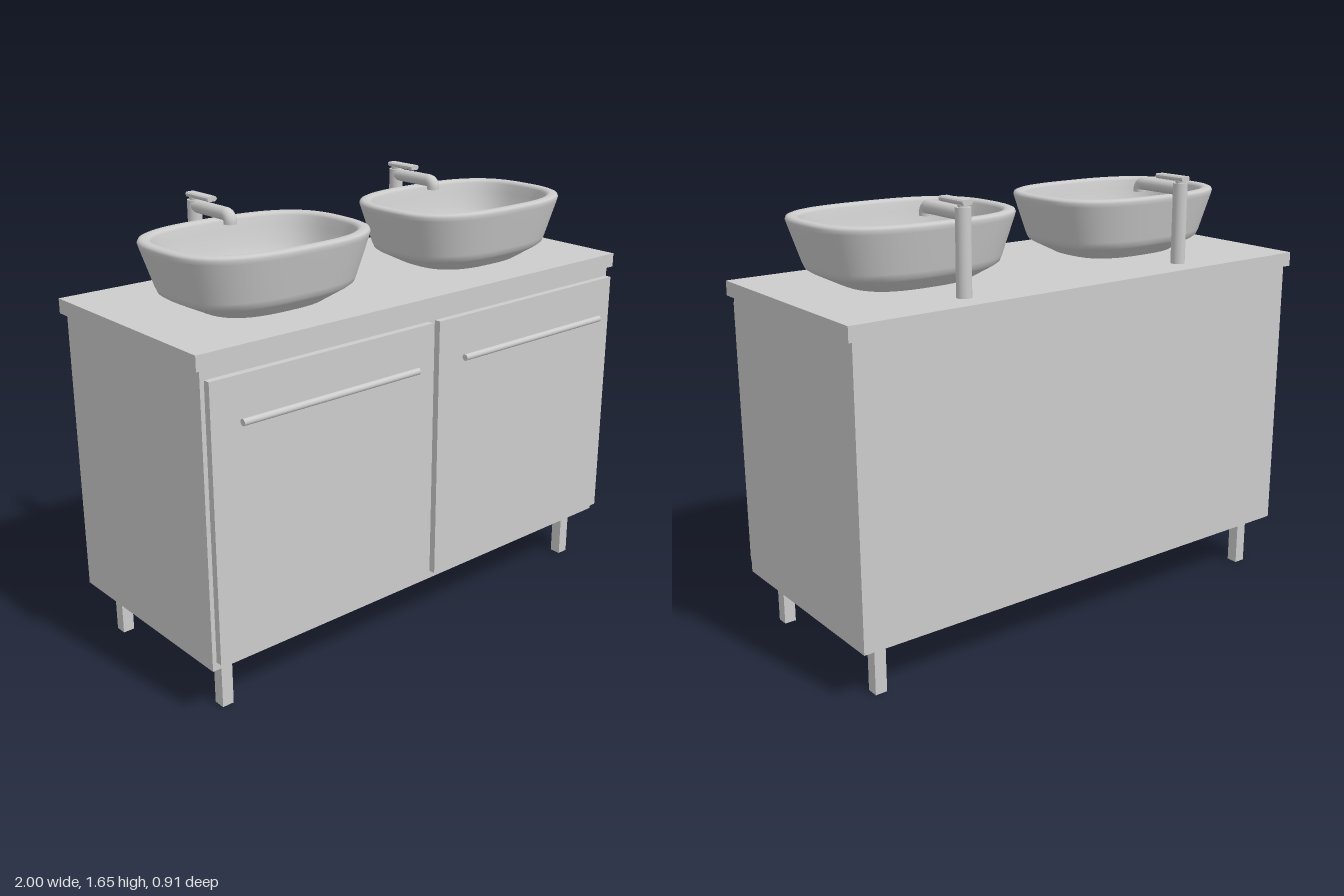
import * as THREE from 'three';

const grey = new THREE.MeshStandardMaterial({ color: 0xcccccc });
grey.name = 'light grey';

function add(parent, name, geometry, x = 0, y = 0, z = 0) {
  const mesh = new THREE.Mesh(geometry, grey);
  mesh.name = name;
  mesh.position.set(x, y, z);
  parent.add(mesh);
  return mesh;
}

// Box given by its lower and upper limits on each axis
function box(parent, name, [x0, x1], [y0, y1], [z0, z1]) {
  return add(parent, name, new THREE.BoxGeometry(x1 - x0, y1 - y0, z1 - z0),
    (x0 + x1) / 2, (y0 + y1) / 2, (z0 + z1) / 2);
}

// Bowl skinned over rounded-rectangle rings: [half width, half depth, height]
function bowlGeometry() {
  const rings = [
    [0.001, 0.001, 0], [0.22, 0.166, 0], [0.232, 0.176, 0.003],
    [0.325, 0.24, 0.049], [0.341, 0.252, 0.06], [0.35, 0.258, 0.08],
    [0.396, 0.291, 0.218], [0.4, 0.294, 0.232], [0.396, 0.291, 0.241], [0.387, 0.282, 0.245],
    [0.37, 0.265, 0.245], [0.361, 0.256, 0.241], [0.356, 0.251, 0.232],
    [0.35, 0.245, 0.2], [0.335, 0.23, 0.14], [0.308, 0.208, 0.085],
    [0.26, 0.172, 0.05], [0.18, 0.118, 0.034], [0.09, 0.06, 0.03], [0.001, 0.001, 0.029],
  ];
  const n = 72, power = 2 / 2.8, positions = [], index = [];
  const soft = (v) => Math.sign(v) * Math.abs(v) ** power;
  rings.forEach(([a, b, y], i) => {
    for (let j = 0; j < n; j++) {
      const t = (j / n) * Math.PI * 2;
      positions.push(a * soft(Math.cos(t)), y, b * soft(Math.sin(t)));
      if (i === rings.length - 1) continue;
      const p = i * n + j, q = i * n + (j + 1) % n;
      index.push(p, p + n, q, q, p + n, q + n);
    }
  });
  const g = new THREE.BufferGeometry();
  g.setAttribute('position', new THREE.Float32BufferAttribute(positions, 3));
  g.setIndex(index);
  g.computeVertexNormals();
  return g;
}

// Tap: upright post, forward spout bending down, flat lever on top
function makeTap() {
  const tap = new THREE.Group();
  tap.name = 'tap';
  add(tap, 'tapPost', new THREE.CylinderGeometry(0.027, 0.027, 0.3, 28), 0, 1.47, -0.342);
  const r = 0.024;
  add(tap, 'spout', new THREE.CylinderGeometry(r, r, 0.195, 24), 0, 1.598, -0.2445)
    .rotation.x = Math.PI / 2;
  add(tap, 'spoutElbow', new THREE.TorusGeometry(r, r, 24, 12, Math.PI / 2), 0, 1.574, -0.147)
    .rotation.y = -Math.PI / 2;
  add(tap, 'nozzle', new THREE.CylinderGeometry(r, r, 0.008, 24), 0, 1.57, -0.123);
  add(tap, 'leverStem', new THREE.CylinderGeometry(0.018, 0.018, 0.02, 20), 0, 1.622, -0.342);
  // Lever with chamfered lower edges
  const section = new THREE.Shape([[-0.014, 0], [0.014, 0], [0.02, 0.007], [0.02, 0.013],
    [0.015, 0.018], [-0.015, 0.018], [-0.02, 0.013], [-0.02, 0.007]]
    .map(([x, y]) => new THREE.Vector2(x, y)));
  add(tap, 'lever', new THREE.ExtrudeGeometry(section, { depth: 0.14, bevelEnabled: false }),
    0, 1.628, -0.369);
  return tap;
}

export function createModel() {
  const model = new THREE.Group();
  model.name = 'doubleVanity';

  // Cabinet and worktop
  box(model, 'cabinet', [-0.98, 0.98], [0.2, 1.266], [-0.441, 0.381]);
  box(model, 'worktop', [-1, 1], [1.266, 1.32], [-0.455, 0.395]);

  const bowl = bowlGeometry();
  for (const side of [-1, 1]) {
    // Door and its long bar handle
    box(model, 'door', [side * 0.492 - 0.476, side * 0.492 + 0.476], [0.235, 1.232], [0.387, 0.413]);
    add(model, 'handle', new THREE.CylinderGeometry(0.012, 0.012, 0.754, 20), side * 0.492, 1.085, 0.445)
      .rotation.z = Math.PI / 2;

    // Basin and tap
    add(model, 'basin', bowl, side * 0.492, 1.32, 0.027);
    const tap = makeTap();
    tap.position.x = side * 0.492;
    model.add(tap);

    // Legs
    for (const z of [0.3, -0.359]) {
      add(model, 'leg', new THREE.BoxGeometry(0.045, 0.2, 0.045), side * 0.885, 0.1, z);
    }
  }
  return model;
}
